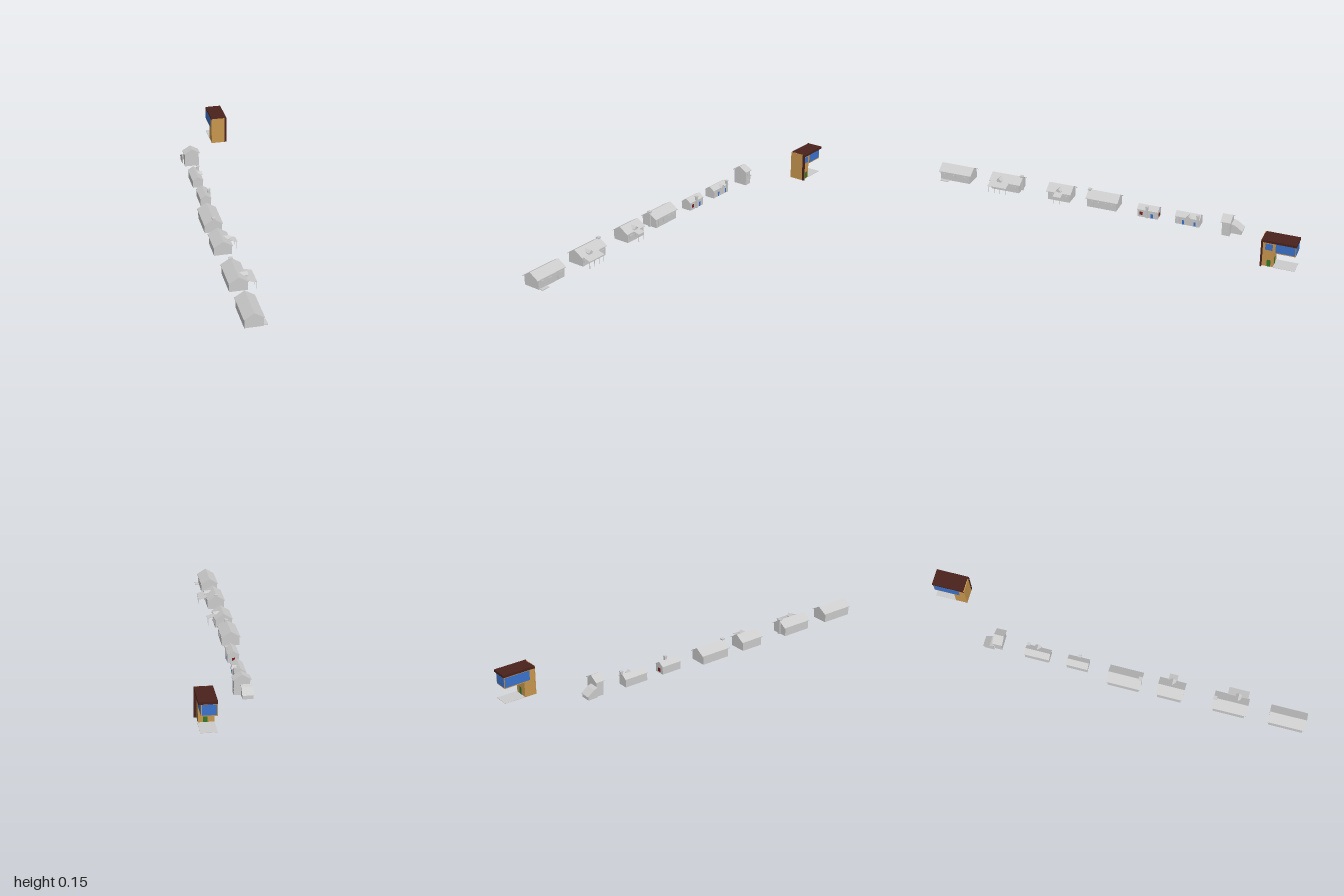
import * as THREE from 'three';

const mat = (color) => new THREE.MeshStandardMaterial({ color, side: THREE.DoubleSide });
const GREY = mat(0xcccccc), TAN = mat(0xc8964e), BROWN = mat(0x4a211b), BLUE = mat(0x3a72cc),
  GREEN = mat(0x2f7a2a), RED = mat(0x7a2020);
const T = 0.003; // wall and roof thickness

function add(parent, name, geometry, material = GREY) {
  const mesh = new THREE.Mesh(geometry, material);
  mesh.name = name;
  parent.add(mesh);
  return mesh;
}

// box given by its min and max corners
function box(parent, name, [x0, x1], [y0, y1], [z0, z1], material) {
  const g = new THREE.BoxGeometry(x1 - x0, y1 - y0, z1 - z0);
  g.translate((x0 + x1) / 2, (y0 + y1) / 2, (z0 + z1) / 2);
  return add(parent, name, g, material);
}

const extrude = (pts, depth) => new THREE.ExtrudeGeometry(
  new THREE.Shape(pts.map(([a, b]) => new THREE.Vector2(a, b))), { depth, bevelEnabled: false });

// (x, y) outline swept along z
function prismZ(parent, name, pts, z0, z1, material) {
  return add(parent, name, extrude(pts, z1 - z0).translate(0, 0, z0), material);
}

// (z, y) outline swept along x
function prismX(parent, name, pts, x0, x1, material) {
  const g = extrude(pts.map(([z, y]) => [-z, y]), x1 - x0).rotateY(Math.PI / 2).translate(x0, 0, 0);
  return add(parent, name, g, material);
}

// folded slab outline for a gable roof
const chevron = (a0, a1, eave, ridge) => {
  const m = (a0 + a1) / 2;
  return [[a0, eave], [m, ridge], [a1, eave], [a1, eave - T], [m, ridge - T], [a0, eave - T]];
};

// open-bottomed gabled house; openings lie on the +x wall as [z, width, bottom, top, material]
function house(root, { name, x, z, eave, ridge, over = 0.004, end = 0.008, openings = [] }) {
  const g = new THREE.Group();
  g.name = name;
  root.add(g);
  const [x0, x1] = [x[0] + over, x[1] - over], [z0, z1] = [z[0] + end, z[1] - end];
  const m = (x0 + x1) / 2, top = eave + over * 0.6 - T;
  const gable = [[x0, 0], [x1, 0], [x1, top], [m, ridge - T], [x0, top]];
  prismZ(g, 'backGable', gable, z0, z0 + T);
  prismZ(g, 'frontGable', gable, z1 - T, z1);
  box(g, 'leftWall', [x1 - T, x1], [0, top], [z0, z1]);
  box(g, 'rightWall', [x0, x0 + T], [0, top], [z0, z1]);
  prismZ(g, 'roof', chevron(x[0], x[1], eave, ridge), z[0], z[1]);
  for (const [c, w, b, t, material] of openings) {
    const kind = b < 0.004 ? 'door' : 'window';
    box(g, kind + 'Frame', [x1 - T, x1 + 0.001], [b, t + 0.002], [c - w / 2 - 0.002, c + w / 2 + 0.002]);
    box(g, kind, [x1 - T, x1 + 0.002], [b, t], [c - w / 2, c + w / 2], material);
  }
  return g;
}

function chimney(g, x, z, r, bottom, top) {
  box(g, 'chimney', [x - r, x + r], [bottom, top - 0.004], [z - r, z + r]);
  box(g, 'chimneyCap', [x - r * 1.3, x + r * 1.3], [top - 0.004, top], [z - r * 1.3, z + r * 1.3]);
}

// cross gable standing out of the +x roof slope
function dormer(g, x0, x1, z, half, eave, ridge) {
  prismX(g, 'dormerRoof', chevron(z - half, z + half, eave, ridge), x0, x1);
  prismX(g, 'dormerGable', [[z - half * 0.8, eave - 0.012], [z + half * 0.8, eave - 0.012],
    [z + half * 0.8, eave], [z, ridge - T], [z - half * 0.8, eave]], x0, x1 - 0.004);
}

// lean-to roof on posts
function porch(g, x1, z0, z1, high, low, posts) {
  prismZ(g, 'porchRoof', [[-0.078, high], [x1, low], [x1, low - 0.002], [-0.078, high - 0.002]], z0, z1);
  for (let i = 0; i < posts; i++) {
    const z = z0 + 0.004 + (z1 - z0 - 0.008) * i / (posts - 1);
    box(g, 'porchPost', [x1 - 0.004, x1 - 0.002], [0, low], [z - 0.001, z + 0.001]);
  }
}

function tower(root) {
  const g = new THREE.Group();
  g.name = 'towerHouse';
  root.add(g);
  // upright block under a gable roof
  const [x0, x1, z0, z1] = [-0.12, -0.044, -0.62, -0.58];
  const gable = [[x0, 0], [x1, 0], [x1, 0.076], [-0.082, 0.1], [x0, 0.076]];
  prismZ(g, 'towerBack', gable, z0, z0 + T);
  prismZ(g, 'towerFront', gable, z1 - T, z1);
  box(g, 'towerLeftWall', [x1 - T, x1], [0, 0.076], [z0, z1]);
  box(g, 'towerRightWall', [x0, x0 + T], [0, 0.076], [z0, z1]);
  box(g, 'upperFloor', [x0, x1], [0.04, 0.042], [z0, z1]);
  prismZ(g, 'towerRoof', chevron(-0.126, -0.039, 0.077, 0.103), -0.625, -0.573);
  // low rear wing with sloping roof
  const side = [[-0.672, 0], [-0.62, 0], [-0.62, 0.052], [-0.64, 0.045], [-0.672, 0.02]];
  prismX(g, 'wingSide', side, -0.128, -0.125);
  prismX(g, 'wingSide', side, -0.08, -0.077);
  box(g, 'wingBack', [-0.128, -0.077], [0, 0.02], [-0.672, -0.669]);
  prismX(g, 'wingRoof', [[-0.62, 0.053], [-0.64, 0.047], [-0.677, 0.02], [-0.677, 0.018],
    [-0.64, 0.044], [-0.62, 0.05]], -0.131, -0.075);
  for (const y of [0.012, 0.052])
    box(g, 'towerWindow', [x1, x1 + 0.001], [y, y + 0.015], [-0.608, -0.592]);
}

function modernHouse(root) {
  const g = new THREE.Group();
  g.name = 'modernHouse';
  root.add(g);
  const X = [0.083, 0.156], top = 0.136;
  box(g, 'groundFloor', X, [0, 0.08], [-0.89, -0.834], TAN);
  box(g, 'upperStorey', X, [0.078, top], [-0.996, -0.834], TAN);
  box(g, 'roofSlab', [0.082, 0.168], [top, 0.148], [-1, -0.83], BROWN);
  box(g, 'frontWall', [0.082, 0.156], [0, 0.148], [-0.834, -0.829], TAN);
  box(g, 'frontFin', [0.156, 0.168], [0, 0.148], [-0.836, -0.829], BROWN);
  // glazing on three sides
  box(g, 'leftWindow', [0.15, 0.157], [0.083, 0.133], [-0.993, -0.898], BLUE);
  box(g, 'smallWindow', [0.15, 0.157], [0.09, 0.124], [-0.884, -0.848], BLUE);
  box(g, 'rightWindow', [0.0822, 0.09], [0.083, 0.133], [-0.993, -0.86], BLUE);
  box(g, 'backWindow', [0.087, 0.152], [0.083, 0.133], [-0.997, -0.99], BLUE);
  // doors and terrace
  box(g, 'sideDoor', [0.15, 0.157], [0, 0.036], [-0.878, -0.86], GREEN);
  box(g, 'backDoor', [0.115, 0.133], [0, 0.04], [-0.891, -0.885], GREEN);
  box(g, 'terrace', [0.083, 0.16], [0, 0.0015], [-0.998, -0.89]);
}

export function createModel() {
  const root = new THREE.Group();
  root.name = 'houseRow';
  const wide = { x: [-0.168, -0.072], eave: 0.048, ridge: 0.078 };

  const a = house(root, { ...wide, name: 'plainHouse', z: [0.813, 1],
    openings: [[0.965, 0.02, 0.002, 0.036], [0.915, 0.02, 0.015, 0.034], [0.85, 0.03, 0.002, 0.034]] });
  box(a, 'doorstep', [-0.076, -0.055], [0, 0.003], [0.943, 0.988]);

  const b = house(root, { ...wide, name: 'porchHouse', z: [0.527, 0.703],
    openings: [[0.645, 0.018, 0.002, 0.036], [0.68, 0.014, 0.016, 0.034], [0.61, 0.014, 0.016, 0.034],
      [0.56, 0.018, 0.016, 0.034]] });
  chimney(b, -0.12, 0.534, 0.007, 0, 0.083);
  porch(b, -0.032, 0.59, 0.695, 0.051, 0.038, 4);
  dormer(b, -0.115, -0.066, 0.645, 0.015, 0.058, 0.07);

  const c = house(root, { ...wide, name: 'dormerHouse', z: [0.24, 0.377],
    openings: [[0.306, 0.016, 0.002, 0.036], [0.345, 0.016, 0.016, 0.034], [0.268, 0.016, 0.016, 0.034]] });
  porch(c, -0.04, 0.284, 0.328, 0.051, 0.041, 2);
  dormer(c, -0.115, -0.072, 0.308, 0.015, 0.058, 0.07);

  const d = house(root, { ...wide, name: 'chimneyHouse', z: [-0.018, 0.157],
    openings: [[0.12, 0.016, 0.002, 0.036], [0.085, 0.014, 0.016, 0.034], [0.045, 0.016, 0.002, 0.036],
      [0.01, 0.014, 0.016, 0.034]] });
  chimney(d, -0.118, 0.149, 0.007, 0, 0.083);

  const small = { x: [-0.129, -0.071], over: 0.002, end: 0.002, eave: 0.042, ridge: 0.061 };
  const e = house(root, { ...small, name: 'smallCottage', z: [-0.237, -0.125],
    openings: [[-0.147, 0.018, 0.012, 0.03, RED], [-0.205, 0.012, 0.002, 0.026, BLUE]] });
  chimney(e, -0.073, -0.178, 0.006, 0, 0.066);
  box(e, 'backDoor', [-0.107, -0.092], [0.008, 0.026], [-0.237, -0.234], RED);

  const f = house(root, { ...small, name: 'longCottage', z: [-0.458, -0.327],
    openings: [[-0.37, 0.01, 0.002, 0.026, BLUE], [-0.432, 0.01, 0.002, 0.026, BLUE],
      [-0.345, 0.012, 0.012, 0.026]] });
  chimney(f, -0.076, -0.447, 0.006, 0, 0.066);
  dormer(f, -0.1, -0.064, -0.4, 0.016, 0.044, 0.057);

  tower(root);
  modernHouse(root);
  return root;
}
